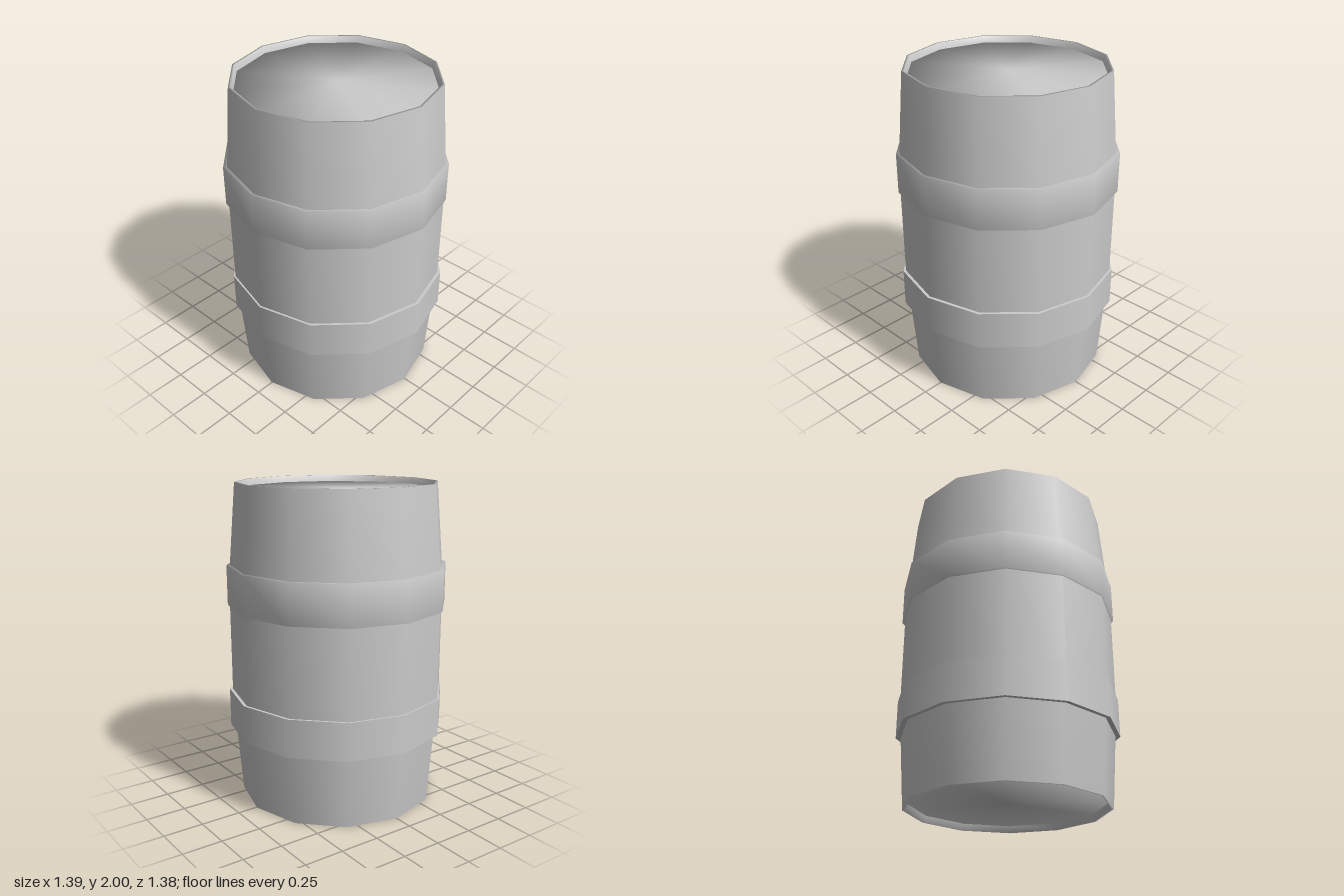
import * as THREE from 'three';

const SIDES = 12;
const material = new THREE.MeshStandardMaterial({ color: 0xcccccc, side: THREE.DoubleSide });

// Turned part from [radius, height] points, listed upwards along the outside
function turned(name, profile, x = 0, z = 0) {
  const points = profile.map(([r, y]) => new THREE.Vector2(r, y));
  const mesh = new THREE.Mesh(new THREE.LatheGeometry(points, SIDES), material);
  mesh.name = name;
  mesh.position.set(x, 0, z);
  return mesh;
}

// Hoop profile; doubled corners keep its edges sharp
function hoop(inner, outer, low, high, sharp) {
  const a = [outer, low], b = [outer, high];
  return sharp
    ? [[inner, low], a, a, b, b, [inner, high]]
    : [[inner, low], a, b, [inner, high]];
}

export function createModel() {
  const barrel = new THREE.Group();
  barrel.name = 'barrel';

  // Staves: bulging shell with a thin lip at both ends
  barrel.add(turned('staves', [
    [0.597, 0.05], [0.61, 0], [0.625, 0],
    [0.66, 0.46], [0.675, 0.6], [0.675, 1.4], [0.667, 1.5],
    [0.625, 2], [0.61, 2], [0.597, 1.95],
  ], -0.004, 0.003));

  // Heads: closed inner drum whose ends sit just below the lips
  barrel.add(turned('heads', [
    [0, 0.04], [0.599, 0.04], [0.599, 1.96], [0, 1.96],
  ], -0.004, 0.003));

  // Hoops: softly shaded above, sharp edged below
  barrel.add(turned('upperHoop', hoop(0.64, 0.69, 1.245, 1.495, false), -0.007, 0.003));
  barrel.add(turned('lowerHoop', hoop(0.64, 0.69, 0.45, 0.69, true)));

  return barrel;
}
